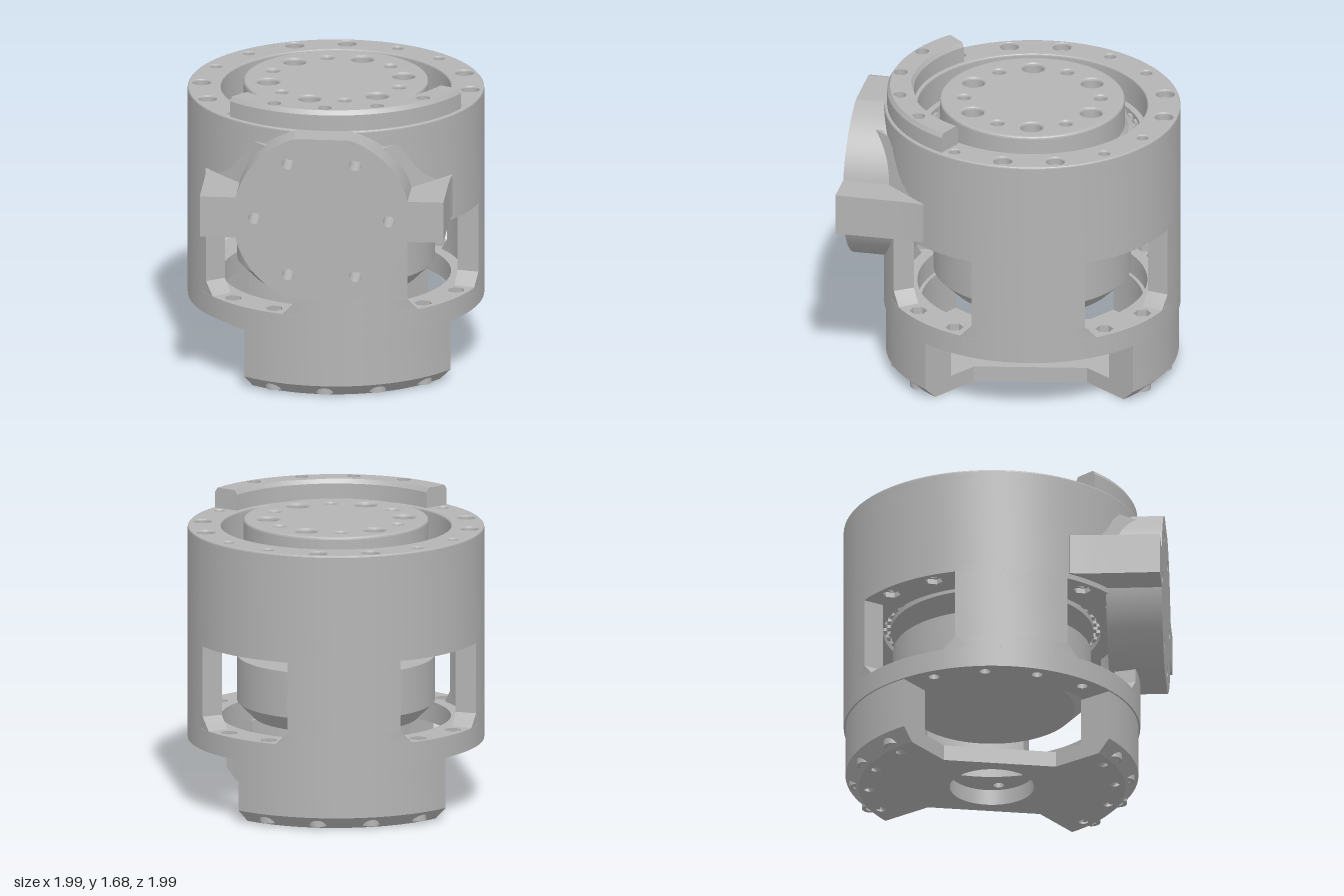
import * as THREE from 'three';
import { toCreasedNormals } from 'three/addons/utils/BufferGeometryUtils.js';

const rad = THREE.MathUtils.degToRad;
const V = (x, y) => new THREE.Vector2(x, y);

// Plan point at radius r and azimuth a (degrees from +z towards +x).
const polar = (r, a) => V(r * Math.sin(rad(a)), -r * Math.cos(rad(a)));
function arc(r, a0, a1) {
  const n = Math.max(2, Math.ceil(Math.abs(a1 - a0) / 3.75));
  return Array.from({ length: n + 1 }, (_, i) => polar(r, a0 + (a1 - a0) * i / n));
}
// Round or hexagonal hole at radius d and azimuth a.
function hole(d, a, r, sides = 32) {
  const c = polar(d, a);
  return Array.from({ length: sides }, (_, i) => V(
    c.x + r * Math.cos(i / sides * Math.PI * 2), c.y + r * Math.sin(i / sides * Math.PI * 2)));
}
const disc = r => arc(r, 0, 356.25);
const sector = (r0, r1, a0, a1) => [...arc(r1, a0, a1), ...arc(r0, a1, a0)];

// Plan outline raised from y0 to y1; a bevel rounds the edges, a rule moves vertices.
function slab(outline, holes, y0, y1, bevel = 0, rule = null) {
  const shape = new THREE.Shape(outline);
  shape.holes = holes.map(h => new THREE.Path(h));
  const g = new THREE.ExtrudeGeometry(shape, {
    depth: y1 - y0 - bevel, bevelEnabled: bevel > 0, bevelThickness: bevel,
    bevelSize: bevel, bevelOffset: -bevel, bevelSegments: 3,
  });
  g.rotateX(-Math.PI / 2).translate(0, y0, 0);
  if (rule) {
    const p = g.attributes.position, v = new THREE.Vector3();
    for (let i = 0; i < p.count; i++) {
      rule(v.fromBufferAttribute(p, i));
      p.setXYZ(i, v.x, v.y, v.z);
    }
    g.computeVertexNormals();
  }
  return toCreasedNormals(g, 0.2);
}

export function createModel() {
  const metal = new THREE.MeshStandardMaterial({ color: 0xb4b4b4 });
  metal.name = 'grey metal';
  const model = new THREE.Group();
  model.name = 'jointHousing';
  model.position.set(0.17, 0, -0.17);
  const add = (name, geometry, parent = model) => {
    const m = new THREE.Mesh(geometry, metal);
    m.name = name;
    parent.add(m);
    return m;
  };
  const lathe = pts => toCreasedNormals(
    new THREE.LatheGeometry(pts.map(([x, y]) => V(x, y)), 96), 0.3);

  const bolts = Array.from({ length: 16 }, (_, i) => i * 22.5);
  const plain = [22.5, 90, 112.5, 180, 202.5, 270];
  const boltHoles = (a0 = -1, a1 = 359) =>
    bolts.flatMap(a => [a, a + 360]).filter(a => a > a0 && a < a1).map(a => hole(0.75, a, 0.03));
  const nutPockets = bolts.map(a => hole(0.75, a, 0.05, 6));
  const inner = disc(0.64);

  // Housing: lower ring with hexagonal nut pockets
  add('lowerRing', slab(disc(0.825), [inner, ...boltHoles()], 0.36, 0.44));
  add('pocketRing', slab(disc(0.825), [inner, ...nutPockets], 0.44, 0.48));

  // Pillars between the four windows, splayed at the foot
  for (let k = 0; k < 4; k++) {
    const a0 = 33.5 + 90 * k, mid = a0 + 22.5;
    const outline = sector(0.705, 0.825, a0, a0 + 45);
    const holes = boltHoles(a0, a0 + 45);
    add('pillar', slab(outline, holes, 0.55, 0.95));
    add('pillarFoot', slab(outline, holes, 0.48, 0.55, 0, v => {
      const r = Math.hypot(v.x, v.z);
      let d = Math.atan2(v.x, v.z) - rad(mid);
      d = Math.atan2(Math.sin(d), Math.cos(d));
      if (Math.abs(d) < rad(21)) return;
      const a = rad(mid) + d * (1 + 0.22 * (0.55 - v.y) / 0.07);
      v.x = r * Math.sin(a);
      v.z = r * Math.cos(a);
    }));
  }

  // Housing: upper ring with nut pockets below, counterbored at most of the bolts
  add('ceilingRing', slab(disc(0.825), [inner, ...nutPockets], 0.95, 0.98));
  add('upperRing', slab(disc(0.825), [inner, ...boltHoles()], 0.98, 1.52));
  add('topRing', slab(disc(0.825),
    [inner, ...bolts.map(a => hole(0.75, a, plain.includes(a) ? 0.03 : 0.05))], 1.52, 1.565, 0.01));

  // Raised crown over the side flange, chamfered at the top
  const crown = sector(0.66, 0.808, 273, 379);
  const crownHoles = [292.5, 315, 337.5, 360].map(a => hole(0.75, a, 0.038));
  add('crown', slab(crown, crownHoles, 1.565, 1.655));
  add('crownTop', slab(crown, crownHoles, 1.655, 1.68, 0, v => {
    const r = Math.hypot(v.x, v.z);
    if (v.y < 1.67 || (r > 0.68 && r < 0.8)) return;
    const s = r > 0.7 ? 0.98 : 1.025;
    v.x *= s;
    v.z *= s;
  }));

  // Toothed gap between housing and rotor
  add('statorRing', slab(disc(0.645), [disc(0.605)], 0.95, 1.4));
  for (let i = 0; i < 44; i++) {
    for (const [name, r, shift] of [['statorTooth', 0.597, 0], ['rotorTooth', 0.572, 0.5]]) {
      const a = (i + shift) / 44 * Math.PI * 2;
      const tooth = add(name, new THREE.BoxGeometry(0.045, 0.4, 0.02));
      tooth.position.set(r * Math.sin(a), 1.18, r * Math.cos(a));
      tooth.rotation.y = a;
    }
  }

  // Rotors
  add('upperRotor', lathe([[0, 0.95], [0.565, 0.95], [0.565, 1.4], [0.535, 1.42],
    [0.515, 1.45], [0.515, 1.52], [0, 1.52]]));
  add('rotorPlate', slab(disc(0.515), Array.from({ length: 12 }, (_, i) =>
    hole(0.38, 177 + 30 * i, i % 2 ? 0.034 : 0.06)), 1.52, 1.605, 0.015));
  add('lowerRotor', lathe([[0, 0.48], [0.46, 0.48], [0.53, 0.55], [0.55, 0.57], [0.55, 0.83],
    [0.32, 0.83], [0.32, 0.85], [0, 0.85]]));

  // Base: two curved walls on a waisted floor
  const floor = [];
  for (const a of [-79, 101]) {
    const holes = boltHoles(a + 360 * (a < 0), a + 90 + 360 * (a < 0));
    add('baseWall', slab(sector(0.62, 0.815, a, a + 90), holes, 0.09, 0.36));
    floor.push(...arc(0.815, a, a + 90), polar(0.445, a + 90), polar(0.445, a + 180));
  }
  const wallBolts = [112.5, 135, 157.5, 180, 292.5, 315, 337.5, 360];
  const floorHoles = [disc(0.235), ...wallBolts.map(a => hole(0.75, a, 0.03))];
  add('baseFloor', slab(floor, floorHoles, 0.07, 0.09));
  add('baseChamfer', slab(floor, floorHoles, 0, 0.07, 0, v => {
    if (v.y < 0.01 && Math.hypot(v.x, v.z) > 0.65) {
      v.x *= 0.91;
      v.z *= 0.91;
    }
  }));
  for (const a of wallBolts) {
    add('boltBoss', slab(hole(0.745, a, 0.05), [hole(0.745, a, 0.028)], 0.015, 0.075));
  }

  // Side flange: round pad, flat at top and bottom, with six holes
  const flange = new THREE.Group();
  flange.name = 'sideFlange';
  flange.rotation.y = -Math.PI / 4;
  model.add(flange);
  const pad = new THREE.Shape(disc(0.495).map(p => V(p.x, THREE.MathUtils.clamp(p.y, -0.47, 0.47))));
  pad.holes = Array.from({ length: 6 }, (_, i) => new THREE.Path(hole(0.375, 90 + 60 * i, 0.033)));
  const padGeometry = new THREE.ExtrudeGeometry(pad, { depth: 0.31, bevelEnabled: false });
  padGeometry.translate(0, 1.095, 0.66);
  add('flangePad', toCreasedNormals(padGeometry, 0.2), flange);

  // Arms beside the pad, each with a sloping web above it
  const side = [[0.47, 0.97], [0.68, 0.97], [0.68, 0.62], [0.683, 0.53], [0.69, 0.47]];
  const web = [[0.45, 0.75], [0.62, 0.55], [0.4, 0.69]];
  for (const s of [1, -1]) {
    const outline = [...side.map(([x, z]) => V(s * x, -z)), ...arc(0.75, s * 55, s * 38.8)];
    add('flangeArm', slab(outline, [], 0.98, 1.215), flange);
    add('flangeWeb', slab(web.map(([x, z]) => V(s * x, -z)), [], 1.2, 1.47, 0, v => {
      const t = (v.y - 1.2) / 0.27;
      v.x -= s * 0.22 * t;
      v.z += 0.18 * t;
    }), flange);
  }
  return model;
}
